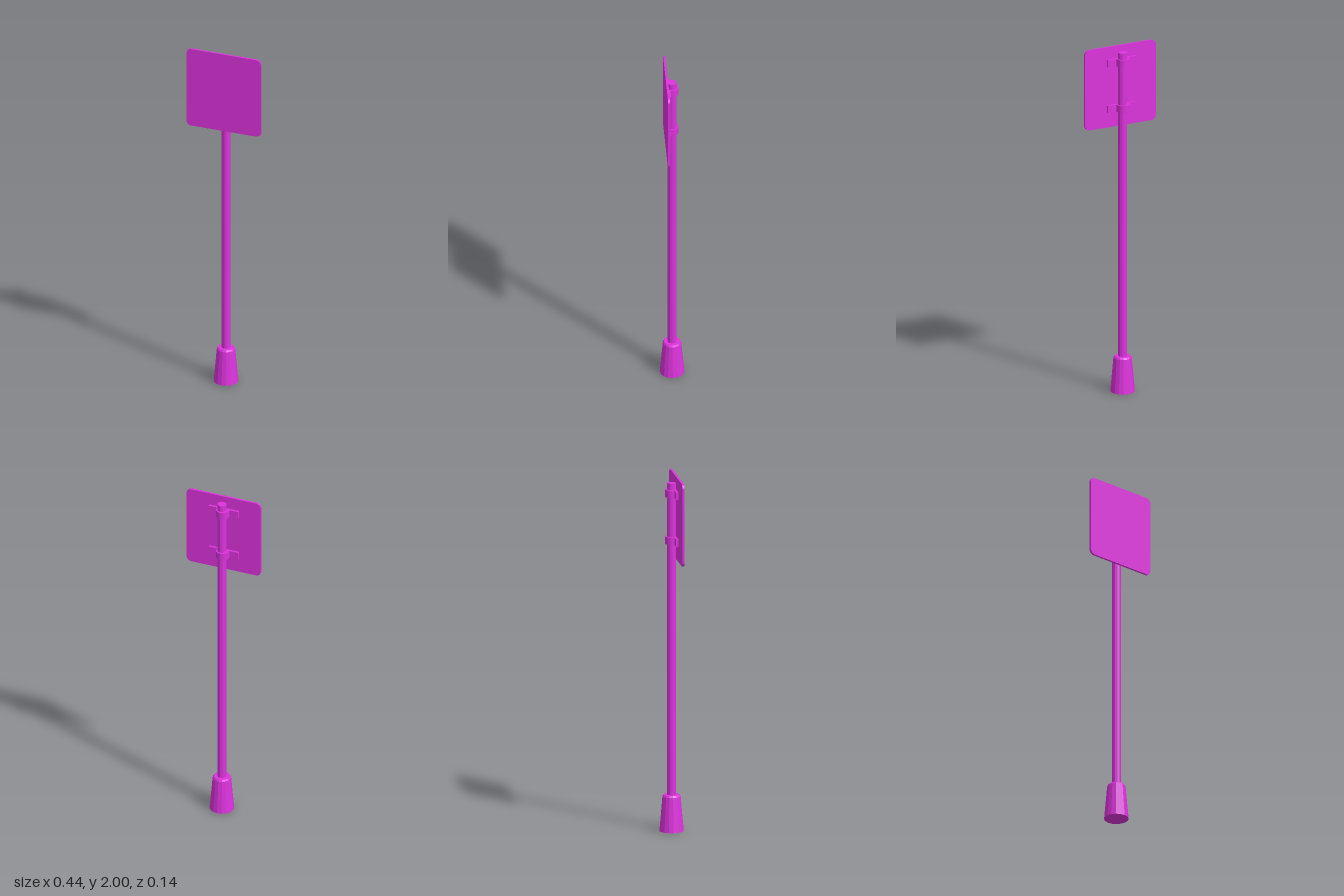
import * as THREE from 'three';

export function createModel() {
  const group = new THREE.Group();
  const material = new THREE.MeshStandardMaterial({ color: 0xdd33dd, flatShading: true });
  const add = (name, geometry, x = 0, y = 0, z = 0) => {
    const mesh = new THREE.Mesh(geometry, material);
    mesh.name = name;
    mesh.position.set(x, y, z);
    group.add(mesh);
    return mesh;
  };

  // Tapered foot with a small chamfer around the top
  const footProfile = [[0, 0], [0.068, 0], [0.051, 0.195], [0.045, 0.205], [0, 0.205]];
  add('foot', new THREE.LatheGeometry(footProfile.map(([r, y]) => new THREE.Vector2(r, y)), 16));

  // Pole
  add('pole', new THREE.CylinderGeometry(0.025, 0.025, 1.785, 12), 0, 0.18 + 1.785 / 2, 0);

  // Thin sign plate with rounded corners
  const w = 0.221, h = 0.2325, r = 0.028;
  const plate = new THREE.Shape();
  plate.moveTo(-w + r, -h);
  plate.absarc(w - r, -h + r, r, -Math.PI / 2, 0);
  plate.absarc(w - r, h - r, r, 0, Math.PI / 2);
  plate.absarc(-w + r, h - r, r, Math.PI / 2, Math.PI);
  plate.absarc(-w + r, -h + r, r, Math.PI, Math.PI * 1.5);
  add('signPlate', new THREE.ExtrudeGeometry(plate, { depth: 0.012, bevelEnabled: false, curveSegments: 4 }),
    0, 1.7675, 0.024);

  // Clamps: a strap around the pole with a flange on each side, against the plate
  const strap = new THREE.Shape();
  strap.moveTo(-0.089, -0.024);
  strap.lineTo(0.089, -0.024);
  strap.lineTo(0.089, -0.010);
  strap.lineTo(0.036, -0.010);
  strap.absarc(0, 0, 0.036, 0, Math.PI);
  strap.lineTo(-0.036, -0.010);
  strap.lineTo(-0.089, -0.010);
  strap.closePath();
  const strapGeometry = new THREE.ExtrudeGeometry(strap, { depth: 0.042, bevelEnabled: false, curveSegments: 6 });
  strapGeometry.rotateX(-Math.PI / 2);
  for (const [name, y] of [['upperClamp', 1.887], ['lowerClamp', 1.622]]) {
    add(name, strapGeometry, -0.004, y, 0);
  }

  return group;
}
